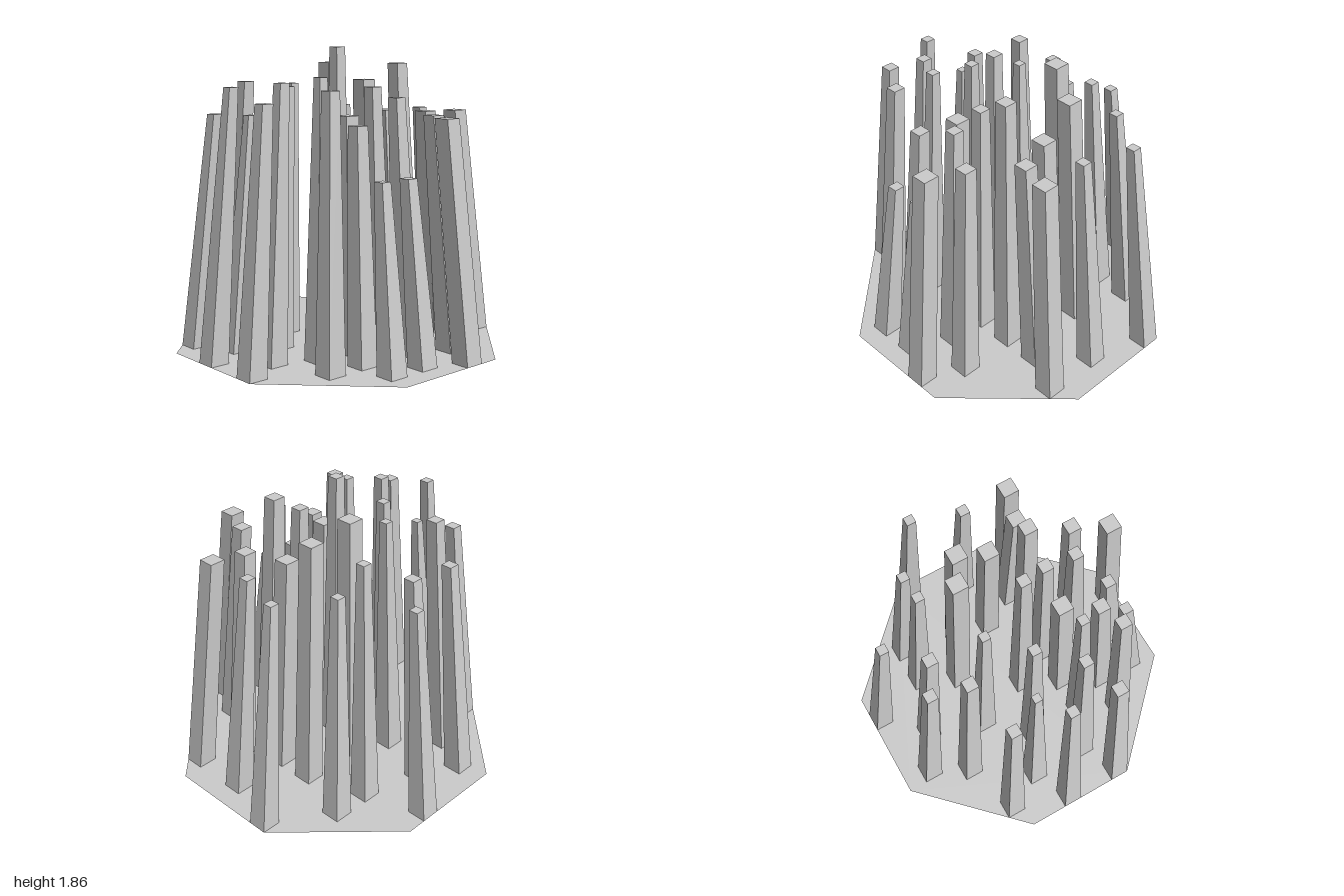
import * as THREE from 'three';

const CELL = 0.125;

// Tapered square post: its base fills one grid cell, its top leans inward
function postGeometry(col, row, topSize, height, shiftZ = 0) {
  const bx = (col + 0.5) * CELL, bz = (row + 0.5) * CELL;
  const tx = 0.834 * bx - 0.012, tz = 0.835 * bz + 0.004 + shiftZ;
  const geo = new THREE.BoxGeometry(1, 1, 1);
  const p = geo.attributes.position;
  for (let i = 0; i < p.count; i++) {
    const top = p.getY(i) > 0;
    const size = top ? topSize : CELL;
    p.setXYZ(i,
      (top ? tx : bx) + p.getX(i) * size,
      top ? height : 0,
      (top ? tz : bz) + p.getZ(i) * size);
  }
  geo.computeVertexNormals();
  return geo;
}

// Posts by grid row (back to front): [column, top width, height, optional top shift]
const rows = {
  '-8': [[1, 0.06, 1.365]],
  '-7': [[-3, 0.07, 1.455]],
  '-6': [[-1, 0.075, 1.405]],
  '-5': [[-4, 0.075, 1.64], [2, 0.06, 1.585], [4, 0.06, 1.455]],
  '-4': [[-7, 0.07, 1.455]],
  '-3': [[-2, 0.055, 1.63], [1, 0.102, 1.755], [7, 0.06, 1.455]],
  '-2': [[-6, 0.05, 1.455], [3, 0.102, 1.64]],
  '-1': [[-8, 0.062, 1.635], [-4, 0.062, 1.625]],
  '0': [[-1, 0.068, 1.86], [3, 0.102, 1.455], [6, 0.065, 1.455]],
  '1': [[-6, 0.066, 1.66]],
  '2': [[-8, 0.075, 1.555], [-4, 0.058, 1.69], [-2, 0.1, 1.455], [0, 0.075, 1.62],
    [2, 0.085, 1.76], [4, 0.092, 1.455, 0.045]],
  '3': [[6, 0.102, 1.455]],
  '4': [[-5, 0.075, 1.625], [-3, 0.083, 1.415], [0, 0.073, 1.565]],
  '5': [[2, 0.085, 1.455]],
  '6': [[-3, 0.068, 1.11], [-1, 0.073, 1.11]],
  '7': [[1, 0.102, 1.455]],
};

export function createModel() {
  const group = new THREE.Group();
  group.name = 'postCluster';
  const material = new THREE.MeshStandardMaterial({ color: 0xcccccc, flatShading: true });

  // Flat eight-sided ground sheet
  const c = 0.375;
  const outline = [[c, 1], [1, c], [1, -c], [c, -1], [-c, -1], [-1, -c], [-1, c], [-c, 1]];
  const shape = new THREE.Shape(outline.map(([x, y]) => new THREE.Vector2(x, y)));
  const base = new THREE.Mesh(
    new THREE.ShapeGeometry(shape).rotateX(-Math.PI / 2),
    new THREE.MeshStandardMaterial({ color: 0xcccccc, flatShading: true, side: THREE.DoubleSide }));
  base.name = 'basePlate';
  group.add(base);

  // Leaning posts
  const posts = new THREE.Group();
  posts.name = 'posts';
  for (const [row, list] of Object.entries(rows)) {
    for (const [col, topSize, height, shift] of list) {
      const post = new THREE.Mesh(postGeometry(col, Number(row), topSize, height, shift), material);
      post.name = 'post';
      posts.add(post);
    }
  }
  group.add(posts);
  return group;
}
